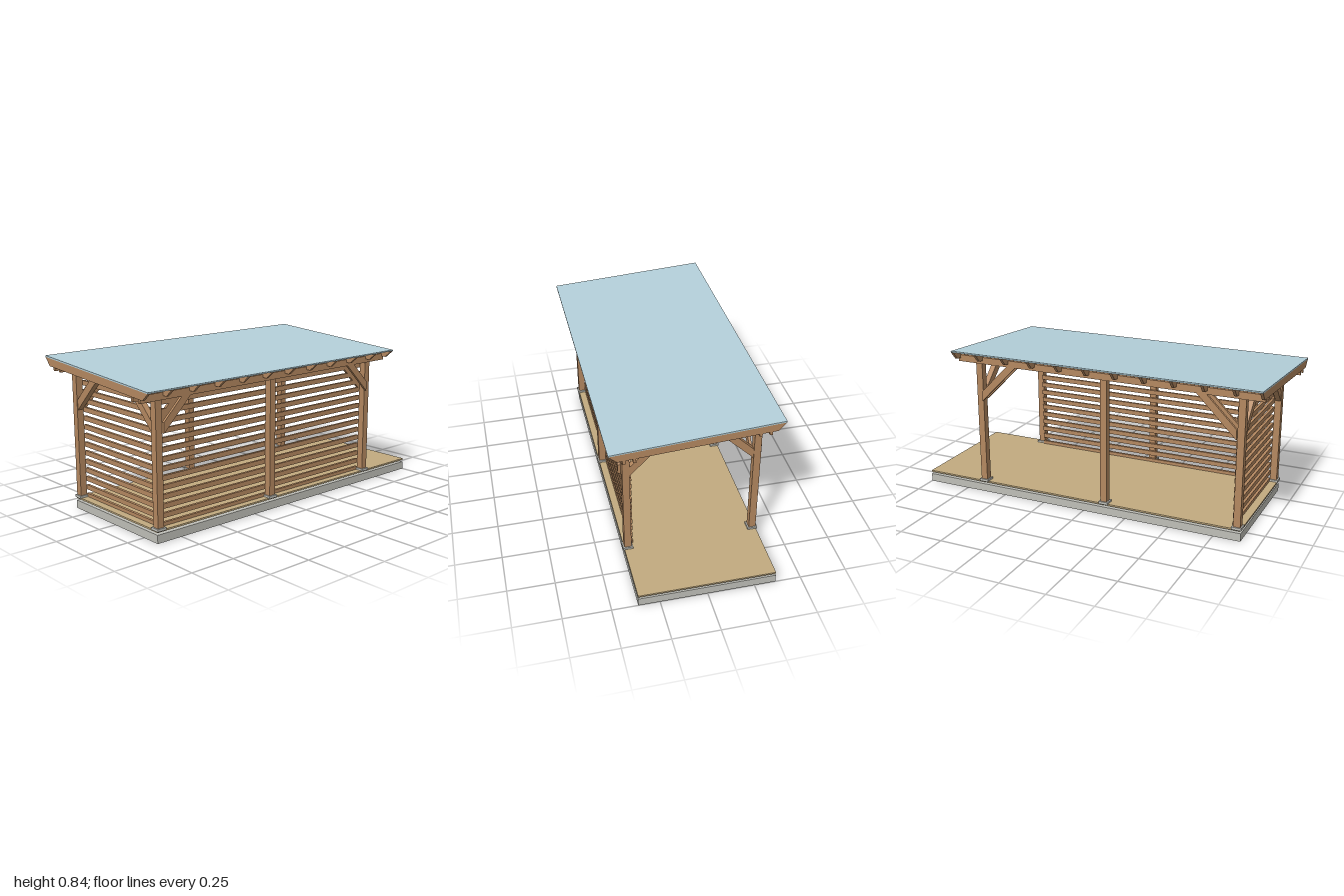
import * as THREE from 'three';

const paint = (color) => new THREE.MeshStandardMaterial({ color });

export function createModel() {
  const model = new THREE.Group();
  const wood = paint(0xb48860), deckMat = paint(0xc2ab80);
  const concrete = paint(0xbfbfb8), roofMat = paint(0xb4d0da);

  const add = (name, geometry, material) => {
    const mesh = new THREE.Mesh(geometry, material);
    mesh.name = name;
    model.add(mesh);
    return mesh;
  };
  // Box given by its lower and upper limits on each axis
  const box = (name, material, x0, x1, y0, y1, z0, z1) => {
    const mesh = add(name, new THREE.BoxGeometry(x1 - x0, y1 - y0, z1 - z0), material);
    mesh.position.set((x0 + x1) / 2, (y0 + y1) / 2, (z0 + z1) / 2);
  };
  // Flat outline extruded symmetrically about its own plane
  const plate = (points, depth) => {
    const shape = new THREE.Shape(points.map(([u, v]) => new THREE.Vector2(u, v)));
    return new THREE.ExtrudeGeometry(shape, { depth, bevelEnabled: false }).translate(0, 0, -depth / 2);
  };
  // Outline drawn in (z, y), extruded along x
  const sidePlate = (name, material, points, x, width) => {
    add(name, plate(points, width).rotateY(-Math.PI / 2).translate(x, 0, 0), material);
  };

  // Ground slab and floating deck
  box('slab', concrete, -0.9, 1, 0, 0.045, -0.363, 0.363);
  box('deck', deckMat, -0.9, 1, 0.057, 0.066, -0.363, 0.363);

  const postXs = [-0.877, -0.1235, 0.633];
  const half = 0.019, postZ = 0.3435, slat = 0.015;
  const underside = (z) => 0.765 - 0.0635 * z; // underside of the rafters

  for (const side of [1, -1]) {
    const z = side * postZ;
    const beamBottom = side > 0 ? 0.72 : 0.77;

    // Posts on metal feet
    for (const x of postXs) {
      box('post', wood, x - half, x + half, 0.066, underside(z), z - half, z + half);
      box('postFoot', concrete, x - 0.027, x + 0.027, 0.063, 0.077, z - 0.027, z + 0.027);
    }

    // Paired beams clamping the post heads, with paired knee braces under them
    for (const face of [1, -1]) {
      const bz = z + face * (half + slat / 2);
      box('beam', wood, -0.995, 0.755, beamBottom, beamBottom + 0.037, bz - slat / 2, bz + slat / 2);
      for (const [postX, dir] of [[postXs[0], 1], [postXs[2], -1]]) {
        const x = postX + dir * half, rise = beamBottom;
        const outline = [
          [x, 0.553], [x + dir * (rise - 0.553), rise],
          [x + dir * (rise - 0.608), rise], [x, 0.608],
        ];
        add('beamBrace', plate(outline, slat).translate(0, 0, bz), wood);
      }
    }

    // Knee braces from the end posts up to the rafters
    const start = side * (postZ - half);
    const reach = side > 0 ? [0.2, 0.145] : [0.222, 0.167];
    const zLow = start - side * reach[0], zHigh = start - side * reach[1];
    const outline = [
      [start, 0.553], [zLow, underside(zLow)], [zHigh, underside(zHigh)], [start, 0.608],
    ];
    for (const x of [postXs[0], postXs[2]]) sidePlate('rafterBrace', wood, outline, x, half * 1.6);
  }

  // Slatted screens along the front and the closed end
  const inner = postZ - half;
  for (let i = 0; i < 14; i++) {
    const top = 0.709 - i * 0.048, bottom = Math.max(top - 0.026, 0.066);
    box('frontSlat', wood, -0.858, 0.614, bottom, top, inner - slat, inner);
    box('endSlat', wood, -0.858, -0.858 + slat, bottom, top, -inner, inner - slat);
  }

  // Sloping rafters with angled tails
  const rafter = [[0.403, underside(0.403)], [0.447, 0.778], [-0.447, 0.835], [-0.408, underside(-0.408)]];
  const rafterXs = [-0.992, 0.749];
  for (let i = 0; i < 10; i++) rafterXs.push(-0.853 + i * 0.1622);
  for (const x of rafterXs) sidePlate('rafter', wood, rafter, x, slat);

  // Roof sheet
  const sheet = [[0.447, 0.778], [0.447, 0.785], [-0.447, 0.843], [-0.447, 0.835]];
  sidePlate('roof', roofMat, sheet, -0.1215, 1.757);

  return model;
}
